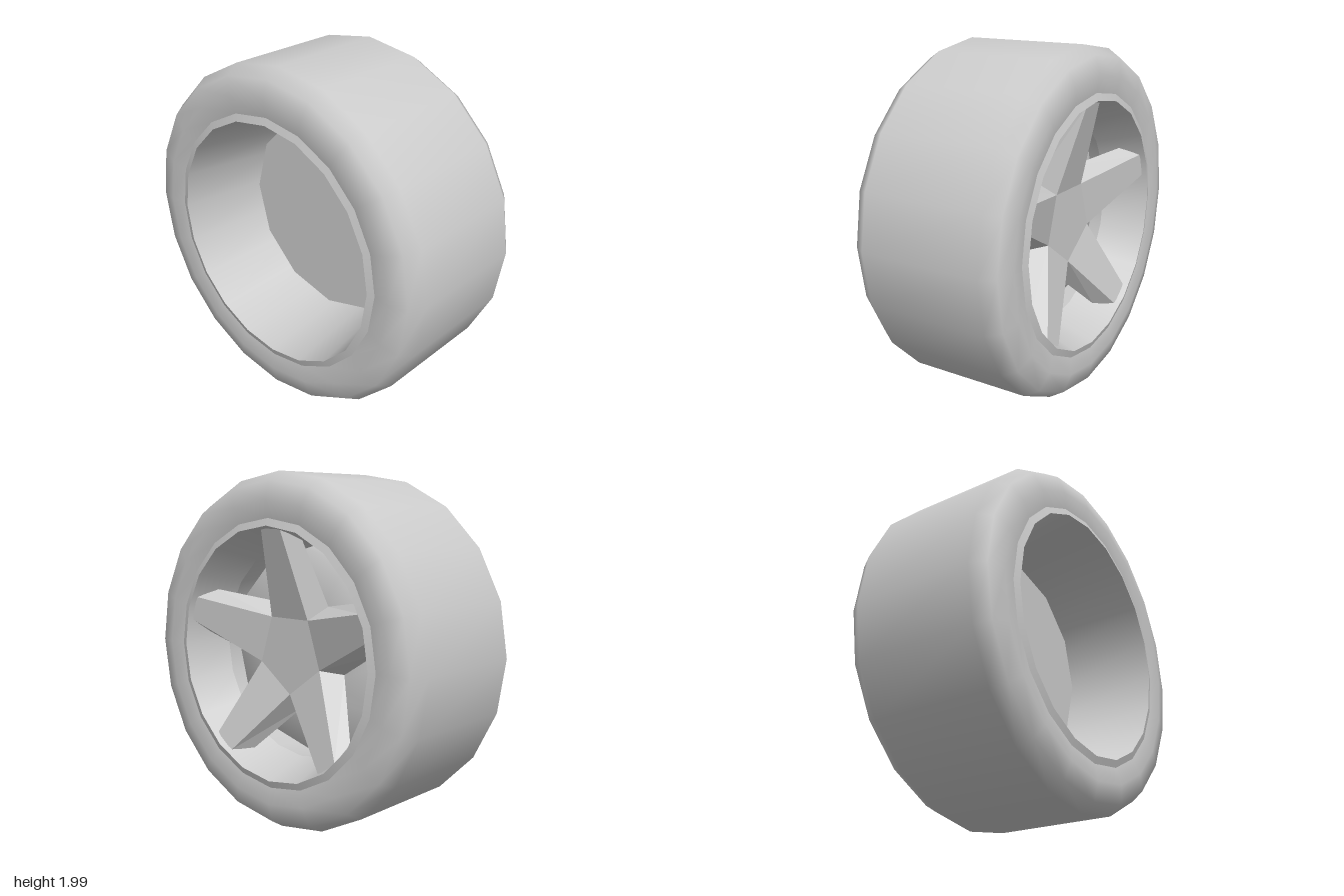
import * as THREE from 'three';

const grey = new THREE.MeshStandardMaterial({ color: 0xcccccc });
const flat = new THREE.MeshStandardMaterial({ color: 0xcccccc, flatShading: true });

// Revolve [radius, x] points around the x axle
function ring(name, points, sides = 20) {
  const geo = new THREE.LatheGeometry(points.map(([r, x]) => new THREE.Vector2(r, x)), sides);
  geo.rotateZ(-Math.PI / 2);
  const mesh = new THREE.Mesh(geo, grey);
  mesh.name = name;
  return mesh;
}

// Five-spoke star, dished towards the hub, with bevelled sides
function starGeometry() {
  const pos = [];
  // clockwise angle a seen from the outer face, radial distance r, sideways offset t
  const point = (a, r, t, x) => [
    x,
    r * Math.cos(a) - t * Math.sin(a),
    -(r * Math.sin(a) + t * Math.cos(a)),
  ];
  const fan = (...p) => {
    for (let i = 1; i < p.length - 1; i++) pos.push(...p[0], ...p[i], ...p[i + 1]);
  };
  const half = Math.PI / 5;
  for (let k = 0; k < 5; k++) {
    const a = k * 2 * half;
    const front = [
      point(a + half, 0.238, 0, 0.29), point(a, 0.688, 0.072, 0.43),
      point(a, 0.688, -0.072, 0.43), point(a - half, 0.238, 0, 0.29),
    ];
    const back = [
      point(a + half, 0.327, 0, 0.18), point(a, 0.628, 0.137, 0.325),
      point(a, 0.628, -0.137, 0.325), point(a - half, 0.327, 0, 0.18),
    ];
    fan([0.29, 0, 0], front[0], front[3]);
    fan(...front);
    fan([0.18, 0, 0], back[3], back[0]);
    fan(...[...back].reverse());
    for (let i = 0; i < 3; i++) fan(front[i], back[i], back[i + 1], front[i + 1]);
  }
  const geo = new THREE.BufferGeometry();
  geo.setAttribute('position', new THREE.Float32BufferAttribute(pos, 3));
  geo.computeVertexNormals();
  return geo;
}

export function createModel() {
  const wheel = new THREE.Group();
  wheel.name = 'wheel';

  // Tyre: rounded shoulders on both sides of a flat tread
  const side = [[0.745, 0.447], [0.84, 0.463], [0.945, 0.437], [0.995, 0.357]];
  wheel.add(ring('tyre', [
    ...side.map(([r, x]) => [r, -x]),
    ...[...side].reverse(),
  ]));

  // Rim lips, standing slightly proud, and the tapered barrel between them
  wheel.add(ring('outerLip', [[0.745, 0.447], [0.705, 0.46]]));
  wheel.add(ring('barrelFront', [[0.705, 0.46], [0.615, 0.2]]));
  wheel.add(ring('barrelBack', [[0.615, 0.2], [0.705, -0.46]]));
  wheel.add(ring('innerLip', [[0.705, -0.46], [0.745, -0.447]]));

  // Brake drum behind the spokes: flat back, softly rounded front
  wheel.add(ring('brakeDrumBack', [[0, 0.03], [0.6, 0.03]], 12));
  wheel.add(ring('brakeDrumFront', [[0.6, 0.03], [0.575, 0.15], [0.3, 0.175], [0, 0.175]], 12));

  const star = new THREE.Mesh(starGeometry(), flat);
  star.name = 'spokes';
  wheel.add(star);

  // Slight steer about the vertical
  wheel.position.y = 0.995;
  wheel.rotation.y = 0.0165;

  const model = new THREE.Group();
  model.name = 'model';
  model.add(wheel);
  return model;
}
